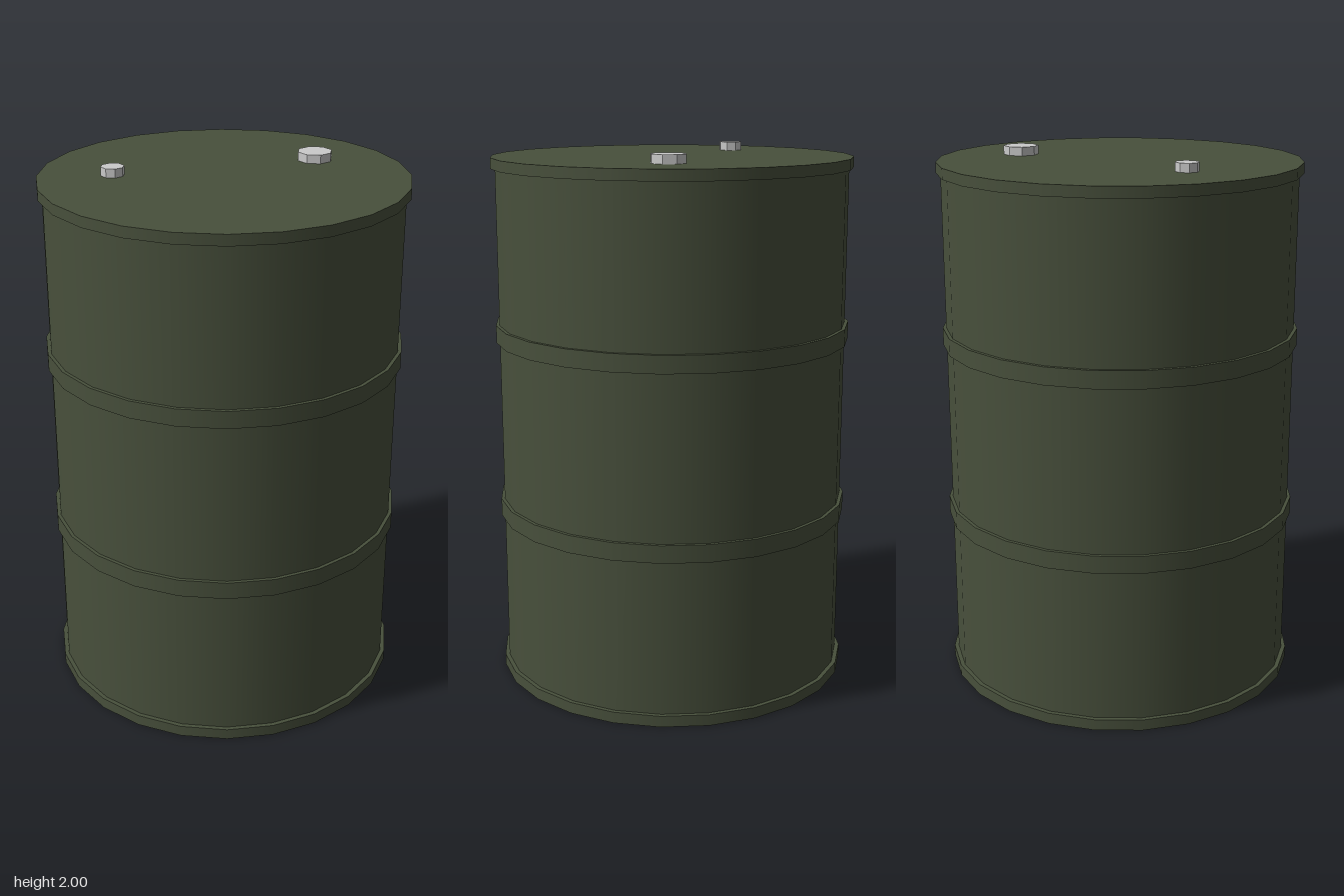
import * as THREE from 'three';

export function createModel() {
  const drum = new THREE.Group();
  drum.name = 'drum';
  const paint = new THREE.MeshStandardMaterial({ color: 0x48503c });
  const metal = new THREE.MeshStandardMaterial({ color: 0xcccccc });
  const capMetal = metal.clone();
  capMetal.flatShading = true;

  // Upright cylinder between two heights
  function cylinder(name, radius, y0, y1, sides, material, x = 0, z = 0) {
    const geometry = new THREE.CylinderGeometry(radius, radius, y1 - y0, sides);
    const mesh = new THREE.Mesh(geometry, material);
    mesh.name = name;
    mesh.position.set(x, (y0 + y1) / 2, z);
    drum.add(mesh);
  }

  // Barrel wall
  cylinder('body', 0.652, 0.02, 1.95, 24, paint);

  // Rims at both ends, the upper one closed by the lid
  cylinder('bottomRim', 0.668, 0, 0.042, 24, paint);
  cylinder('topRim', 0.668, 1.928, 1.968, 24, paint);

  // Rolling hoops
  cylinder('lowerHoop', 0.665, 0.618, 0.684, 24, paint);
  cylinder('upperHoop', 0.665, 1.29, 1.355, 24, paint);

  // Bung caps on the lid
  cylinder('largeCap', 0.065, 1.96, 2, 8, capMetal, 0.38, -0.114);
  cylinder('smallCap', 0.043, 1.96, 2, 8, capMetal, -0.38, -0.114);

  return drum;
}
